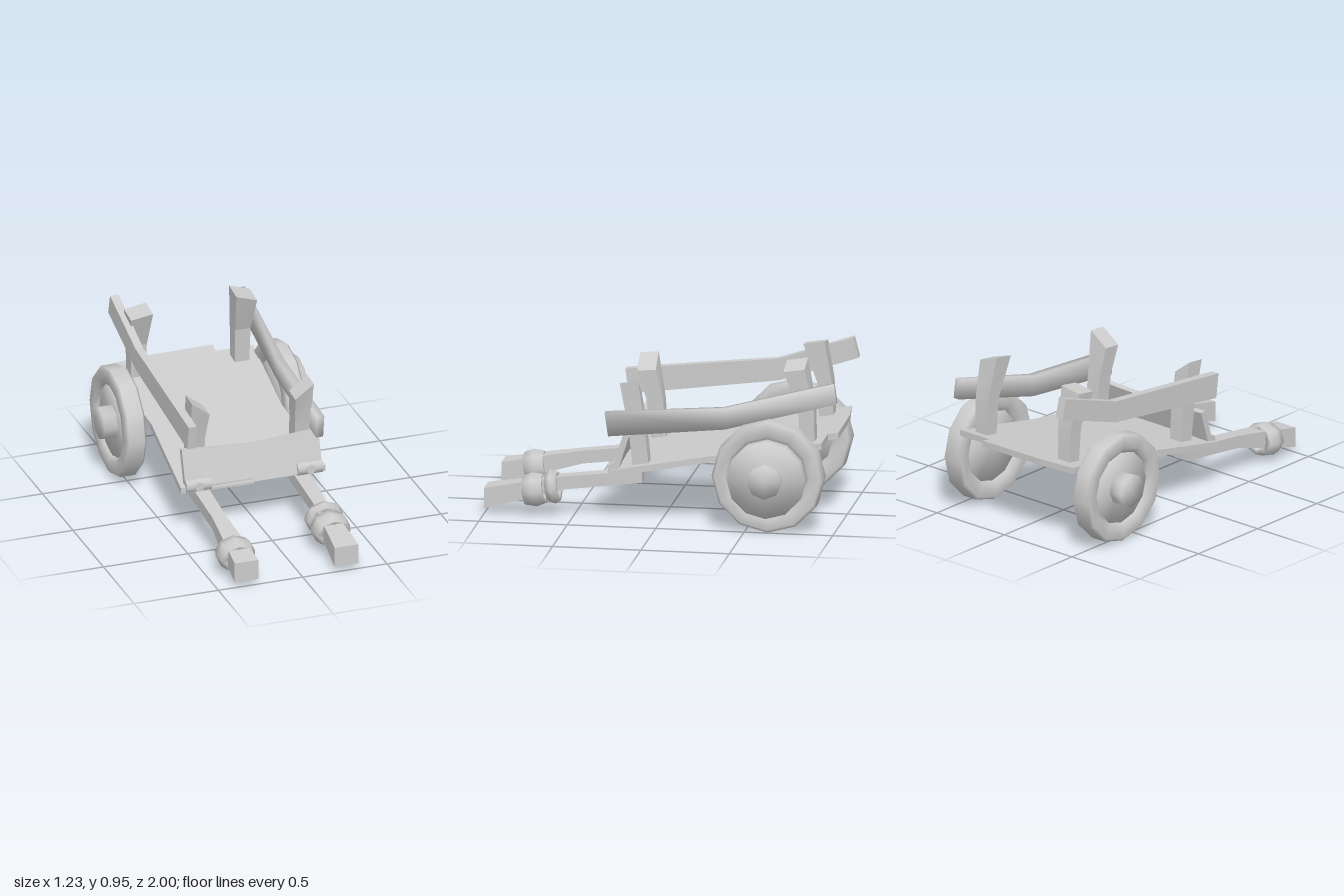
import * as THREE from 'three';
import { toCreasedNormals } from 'three/addons/utils/BufferGeometryUtils.js';

const grey = new THREE.MeshStandardMaterial({ color: 0xcccccc });

function mesh(name, geometry, parent) {
  const m = new THREE.Mesh(geometry, grey);
  m.name = name;
  parent.add(m);
  return m;
}

// Skin four-cornered sections (counter-clockwise around the sweep) and cap the ends
function loft(rings, crease = 0.2) {
  const pos = [];
  const quad = (a, b, c, d) => pos.push(...a, ...b, ...c, ...a, ...c, ...d);
  for (let i = 0; i + 1 < rings.length; i++) {
    for (let k = 0; k < 4; k++) {
      const n = (k + 1) % 4;
      quad(rings[i][k], rings[i][n], rings[i + 1][n], rings[i + 1][k]);
    }
  }
  const s = rings[0], e = rings[rings.length - 1];
  quad(s[3], s[2], s[1], s[0]);
  quad(e[0], e[1], e[2], e[3]);
  const g = new THREE.BufferGeometry();
  g.setAttribute('position', new THREE.Float32BufferAttribute(pos, 3));
  return toCreasedNormals(g, crease);
}

// Beam along z: sections [z, x0, x1, y0, y1, lean of the top in z]
const beamZ = (sections, crease) => loft(sections.map(([z, x0, x1, y0, y1, t = 0]) =>
  [[x0, y0, z], [x1, y0, z], [x1, y1, z + t], [x0, y1, z + t]]), crease);

// Post along y: sections [x0, x1, z0, z1, y at x0, y at x1, rise of the back edge]
const post = (sections) => loft(sections.map(([x0, x1, z0, z1, ya, yb, r = 0]) =>
  [[x0, ya + r, z0], [x0, ya, z1], [x1, yb, z1], [x1, yb + r, z0]]));

function wheel(name, x, side, discIn, discOut, hubOut) {
  const g = new THREE.Group();
  g.name = name;
  g.position.set(x, 0.322, -0.63);
  g.rotation.z = -side * Math.PI / 2;
  const profile = [[0.21, -0.035], [0.24, -0.06], [0.3, -0.06], [0.316, -0.045],
    [0.316, 0.045], [0.3, 0.06], [0.24, 0.06], [0.21, 0.035], [0.21, -0.035]];
  mesh('tyre', new THREE.LatheGeometry(profile.map((p) => new THREE.Vector2(...p)), 12), g);
  const drum = (part, r, y0, y1, sides) => {
    const c = new THREE.CylinderGeometry(r, r, y1 - y0, sides).translate(0, (y0 + y1) / 2, 0);
    mesh(part, toCreasedNormals(c, 2), g);
  };
  drum('wheelDisc', 0.22, discIn, discOut, 12);
  drum('hub', 0.097, 0, hubOut, 8);
  return g;
}

export function createModel() {
  const cart = new THREE.Group();
  cart.name = 'handcart';

  // Sloping bed, pinched at the middle, with stepped plank ends
  const outline = [[-0.46, 0.275], [-0.03, 0.285], [-0.03, 0.265], [0.4, 0.27], [0.36, -0.35],
    [0.4, -0.92], [0.18, -0.92], [0.18, -0.98], [-0.25, -0.975], [-0.46, -0.945], [-0.41, -0.35]];
  const bed = new THREE.ExtrudeGeometry(
    new THREE.Shape(outline.map(([x, z]) => new THREE.Vector2(x, -z))),
    { depth: 0.036, bevelEnabled: false });
  bed.rotateX(-Math.PI / 2);
  const p = bed.attributes.position;
  for (let i = 0; i < p.count; i++) p.setY(i, p.getY(i) + 0.266 + (0.28 - p.getZ(i)) * 0.172);
  bed.computeVertexNormals();
  mesh('bed', bed, cart);

  // Bowed board leaning back at the front of the bed
  mesh('frontBoard', loft([[-0.43, 0], [-0.22, 0.6], [-0.02, 1], [0.18, 0.6], [0.38, 0]].map(([x, b]) => {
    const z = b * 0.015, top = 0.497 - b * 0.022;
    return [[x, 0.275, 0.24 + z], [x, top, 0.172 + z], [x, top + 0.005, 0.207 + z], [x, 0.28, 0.275 + z]];
  })), cart);

  // Rounded clamps with bolts below the board
  for (const x of [-0.355, 0.305]) {
    const clamp = mesh('clamp', new THREE.CylinderGeometry(0.038, 0.038, 0.15, 10), cart);
    clamp.position.set(x, 0.302, 0.262);
    clamp.rotation.z = Math.PI / 2;
    clamp.scale.z = 0.85;
    const bolt = mesh('bolt', new THREE.CylinderGeometry(0.027, 0.027, 0.03, 10), cart);
    bolt.position.set(x, 0.302, 0.283);
    bolt.rotation.x = Math.PI / 2;
  }

  // Pull shafts, flaring to the grip ends
  for (const x of [-0.333, 0.26]) {
    mesh('shaft', beamZ([
      [0.11, x - 0.045, x + 0.045, 0.215, 0.285],
      [0.55, x - 0.04, x + 0.04, 0.158, 0.232],
      [0.72, x - 0.052, x + 0.052, 0.11, 0.205],
      [1, x - 0.07, x + 0.07, 0.038, 0.155]]), cart);
  }

  // Bindings around the shafts
  for (const [x, y, z, depth] of [[-0.333, 0.125, 0.815, 1.9], [0.263, 0.142, 0.725, 1.9], [0.262, 0.163, 0.62, 1.1]]) {
    const ring = mesh('binding', new THREE.TorusGeometry(0.082, 0.034, 6, 8), cart);
    ring.position.set(x, y, z);
    ring.rotation.x = 0.15;
    ring.scale.set(1, 0.85, depth);
  }

  // Side rails rising to the back
  mesh('leftRail', beamZ([
    [-1, 0.337, 0.377, 0.73, 0.845, 0.015],
    [-0.37, 0.338, 0.38, 0.56, 0.68, 0.01],
    [0.29, 0.337, 0.378, 0.493, 0.628, 0.02]], 2), cart);
  mesh('rightRail', beamZ([
    [-1, -0.43, -0.378, 0.81, 0.925, 0.03],
    [-0.55, -0.43, -0.385, 0.66, 0.785],
    [0.3, -0.43, -0.382, 0.55, 0.692, 0.02]]), cart);

  // Posts, flared and cut at a slant
  mesh('leftFrontPost', post([
    [0.255, 0.335, 0.065, 0.155, 0.3, 0.3],
    [0.25, 0.338, 0.09, 0.185, 0.55, 0.55],
    [0.235, 0.345, 0.125, 0.23, 0.715, 0.795, 0.01]]), cart);
  mesh('rightFrontPost', post([
    [-0.37, -0.285, 0.07, 0.155, 0.3, 0.3],
    [-0.373, -0.283, 0.09, 0.185, 0.55, 0.55],
    [-0.38, -0.275, 0.13, 0.235, 0.79, 0.71, 0.01]]), cart);
  mesh('leftRearPost', post([
    [0.245, 0.33, -0.87, -0.79, 0.46, 0.46],
    [0.242, 0.333, -0.865, -0.775, 0.69, 0.69],
    [0.22, 0.343, -0.815, -0.695, 0.935, 0.895, 0.018]]), cart);
  mesh('rightRearPost', post([
    [-0.37, -0.285, -0.875, -0.795, 0.46, 0.46],
    [-0.375, -0.28, -0.865, -0.78, 0.69, 0.69],
    [-0.4, -0.27, -0.825, -0.705, 0.885, 0.905, 0.018]]), cart);

  // Wheels: the left disc stands proud, the right one is recessed
  cart.add(wheel('leftWheel', 0.445, 1, -0.03, 0.118, 0.17));
  cart.add(wheel('rightWheel', -0.505, -1, -0.035, 0.035, 0.113));

  return cart;
}
